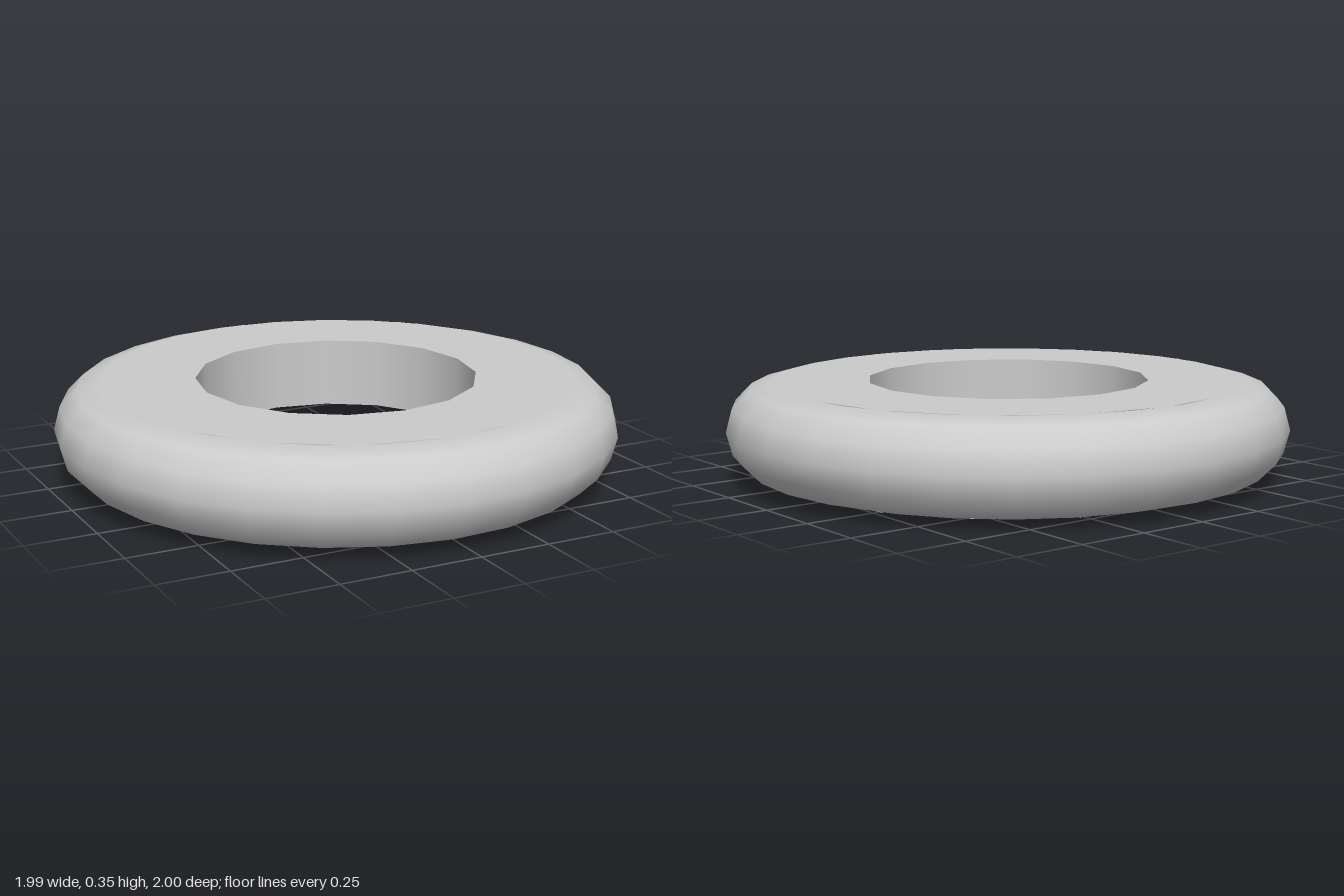
import * as THREE from 'three';

export function createModel() {
  const model = new THREE.Group();
  const material = new THREE.MeshStandardMaterial({ color: 0xcccccc });
  const sheet = new THREE.MeshStandardMaterial({ color: 0xcccccc, side: THREE.DoubleSide });

  const tube = 0.165;          // radius of the rounded rim
  const rimCentre = 1 - tube;
  const midY = 0.183;
  const topY = midY + tube;
  const bottomY = midY - tube;
  const holeRadius = 0.5;
  const holeBottomY = 0.097;   // the underside rises towards the hole

  function add(name, geometry, mat, x = 0, y = 0, z = 0) {
    const mesh = new THREE.Mesh(geometry, mat);
    mesh.name = name;
    mesh.position.set(x, y, z);
    model.add(mesh);
  }

  // One straight band turned about the axis, from (r0, y0) to (r1, y1)
  function band(name, r0, y0, r1, y1) {
    const profile = [new THREE.Vector2(r0, y0), new THREE.Vector2(r1, y1)];
    add(name, new THREE.LatheGeometry(profile, 16), sheet);
  }

  // Rounded outer rim
  const rim = new THREE.TorusGeometry(rimCentre, tube, 12, 27).rotateX(Math.PI / 2);
  add('outerRim', rim, material, 0, midY, 0);

  // Flat top, hole wall and shallow conical underside
  band('topFace', rimCentre, topY, holeRadius, topY);
  band('holeWall', holeRadius, topY, holeRadius, holeBottomY);
  band('underside', holeRadius, holeBottomY, rimCentre, bottomY);

  // Four small round feet
  const footRadius = 0.05;
  const foot = new THREE.SphereGeometry(footRadius, 12, 8);
  for (let i = 0; i < 4; i++) {
    const a = (i * Math.PI) / 2;
    add('foot', foot, material, 0.763 * Math.cos(a), footRadius, 0.763 * Math.sin(a));
  }

  return model;
}
